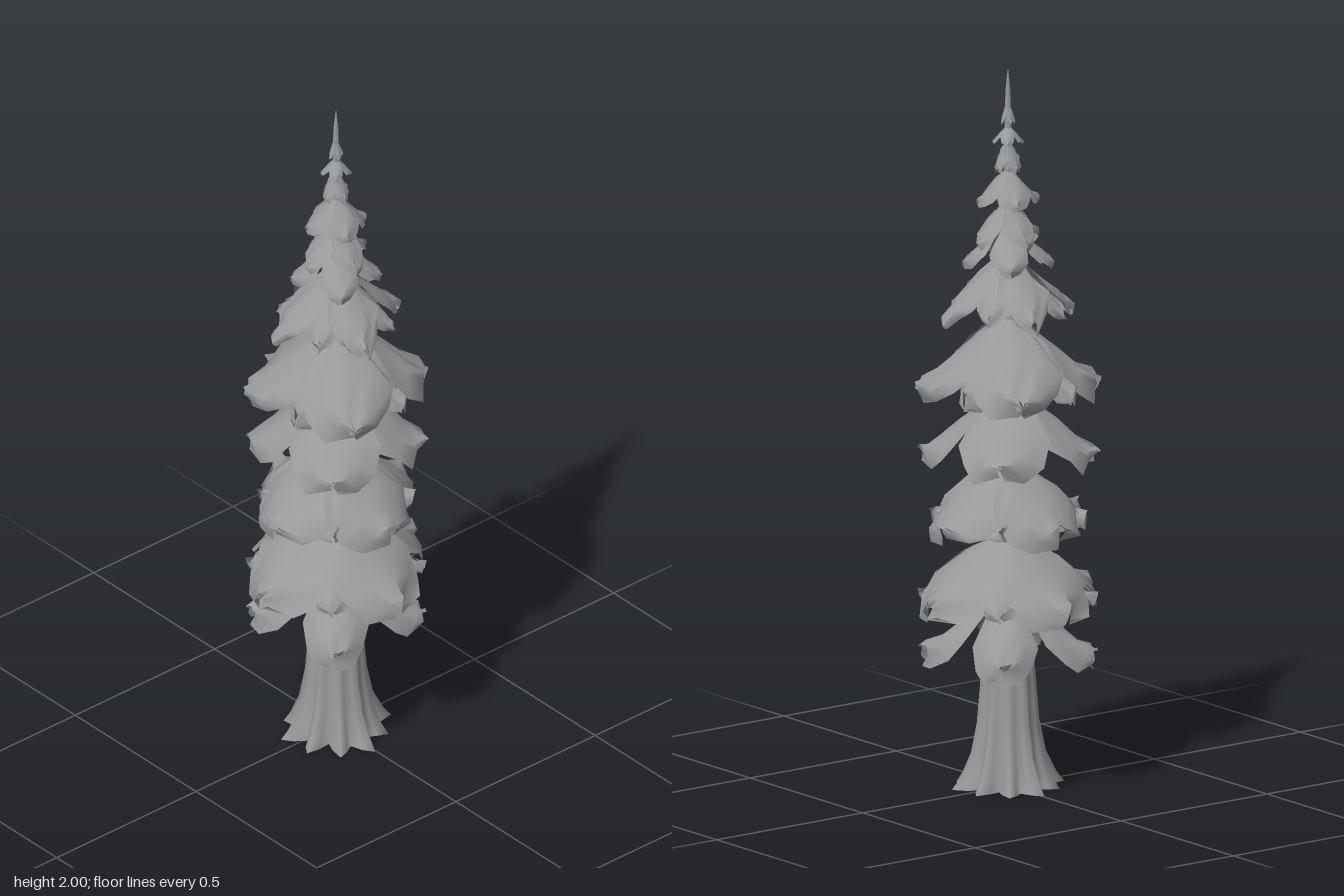
import * as THREE from 'three';

const bark = new THREE.MeshStandardMaterial({ color: 0x999999, side: THREE.DoubleSide });
bark.name = 'grey';

// small seeded random, -1..1
function makeRandom(seed) {
  let s = seed;
  return () => {
    s = (s * 16807) % 2147483647;
    return (s / 2147483647) * 2 - 1;
  };
}

// surface through rows of points; wrap closes each row
function grid(rows, wrap = false) {
  const n = rows[0].length;
  const index = [];
  for (let i = 0; i < rows.length - 1; i++) {
    for (let j = 0; j < (wrap ? n : n - 1); j++) {
      const k = (j + 1) % n;
      const a = i * n + j, b = (i + 1) * n + j, c = i * n + k, d = (i + 1) * n + k;
      index.push(a, b, c, c, b, d);
    }
  }
  const geometry = new THREE.BufferGeometry();
  geometry.setAttribute('position', new THREE.Float32BufferAttribute(rows.flat(2), 3));
  geometry.setIndex(index);
  geometry.computeVertexNormals();
  return geometry;
}

// ribbed trunk, open below, with roots splaying at the foot
function trunkGeometry() {
  const profile = [
    [0, 0.125], [0.03, 0.113], [0.09, 0.095], [0.18, 0.082], [0.3, 0.074],
    [0.42, 0.065], [0.52, 0.054], [0.75, 0.042], [1, 0.034], [1.3, 0.024], [1.6, 0.013],
    [1.85, 0.009], [1.94, 0.007], [2, 0.001],
  ];
  const sides = 40;
  const rows = profile.map(([y, r]) => {
    const rib = 0.06 + 0.18 * Math.exp(-y * 12);
    return Array.from({ length: sides }, (_, j) => {
      const a = (j / sides) * Math.PI * 2;
      const radius = r * (1 + rib * Math.cos(a * 10) + rib * 0.3 * Math.sin(a * 4 + 1));
      return [Math.cos(a) * radius, y, Math.sin(a) * radius];
    });
  });
  return grid(rows, true);
}

// drooping bough along +x; bend 1 is domed, 0 is a straight slope
const along = [0.08, 0.3, 0.52, 0.74, 0.9, 1];
const domed = [0, 0.1, 0.32, 0.58, 0.72, 0.7];
const straight = [0, 0.25, 0.45, 0.64, 0.8, 0.9];
const width = [0.14, 0.42, 0.58, 0.5, 0.34, 0.04];
function boughGeometry(radius, height, spread, bend, random) {
  const across = 8;
  const sideDroop = 0.16 + 0.14 * bend;
  const rows = along.map((u, i) =>
    Array.from({ length: across + 1 }, (_, j) => {
      const v = 1 - (2 * j) / across;
      const rag = i === 0 ? 0 : Math.abs(v) === 1 || i > 3 ? 1 : 0.2;
      const fall = THREE.MathUtils.lerp(straight[i], domed[i], bend);
      return [
        radius * (u - 0.07 * v * v * u + 0.05 * rag * random()),
        -height * (fall + sideDroop * v * v * Math.min(1, u * 1.6) + 0.09 * rag * random()),
        radius * (width[i] * spread * v + 0.04 * rag * random()),
      ];
    }));
  return grid(rows);
}

// [top y, height, radius, turn in degrees, spread, bend, fringe]
const tiers = [
  [0.52, 0.175, 0.24, 43, 0.62, 0.8, false],
  [0.7, 0.2, 0.278, 0, 0.92, 0.6, true],
  [0.89, 0.175, 0.242, 0, 1.02, 0.95, true],
  [1.09, 0.185, 0.245, 43, 0.88, 0.75, false],
  [1.31, 0.22, 0.255, 28, 0.86, 0.25, true],
  [1.49, 0.18, 0.19, 15, 0.68, 0.05, true],
  [1.565, 0.11, 0.125, 35, 0.75, 0.2, false],
  [1.63, 0.11, 0.1, 5, 0.8, 0.1, false],
  [1.72, 0.1, 0.088, 20, 1, 0.3, false],
  [1.8, 0.08, 0.04, 0, 1, 0.2, false],
  [1.845, 0.05, 0.041, 40, 0.8, 0.2, false],
  [1.91, 0.06, 0.022, 10, 0.8, 0.1, false],
];

export function createModel() {
  const tree = new THREE.Group();
  tree.name = 'conifer';

  const trunk = new THREE.Mesh(trunkGeometry(), bark);
  trunk.name = 'trunk';
  tree.add(trunk);

  // four boughs of one shape around the trunk
  const addRing = (parent, name, geometry, y, turn) => {
    for (let k = 0; k < 4; k++) {
      const bough = new THREE.Mesh(geometry, bark);
      bough.name = name;
      bough.position.y = y;
      bough.rotation.y = -THREE.MathUtils.degToRad(turn + k * 90);
      parent.add(bough);
    }
  };

  tiers.forEach(([y, height, radius, turn, spread, bend, fringe], i) => {
    const random = makeRandom(371 + i * 977);
    const tier = new THREE.Group();
    tier.name = 'branchTier';
    addRing(tier, 'bough', boughGeometry(radius, height, spread, bend, random), y, turn);
    // smaller boughs filling the gaps underneath
    if (fringe) {
      const lower = boughGeometry(radius * 0.87, height * 0.9, 0.55, bend, random);
      addRing(tier, 'lowerBough', lower, y - height * 0.08, turn + 42);
    }
    tree.add(tier);
  });

  tree.children.forEach((part) => part.position.set(0.008, 0, 0.004));
  return tree;
}
